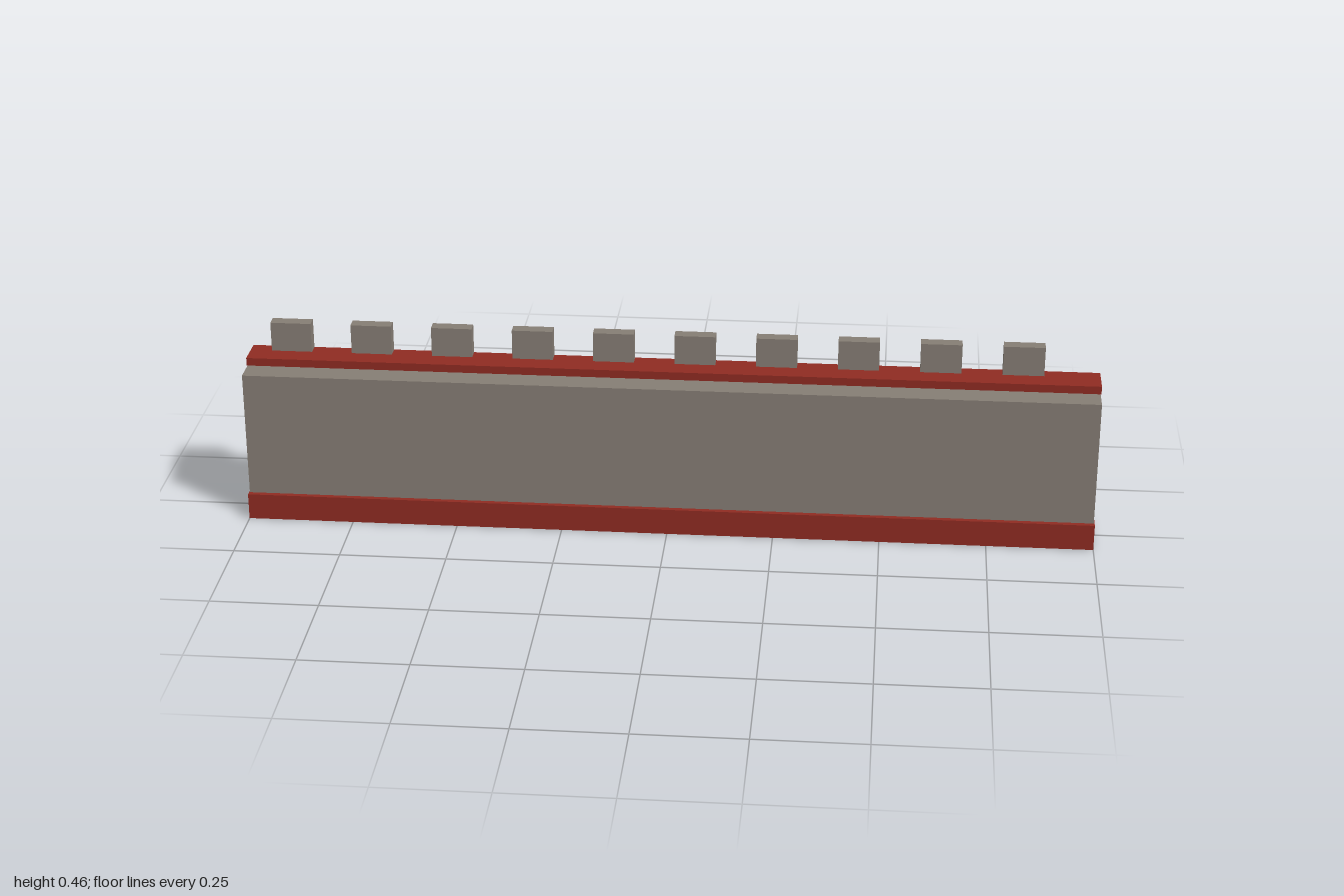
import * as THREE from 'three';

export function createModel() {
  const group = new THREE.Group();
  const stone = new THREE.MeshStandardMaterial({ color: 0x857d74 });
  stone.name = 'grey stone';
  const brick = new THREE.MeshStandardMaterial({ color: 0x8e2b22 });
  brick.name = 'red brick';

  // Box given by its lower and upper corners
  function block(name, material, [x0, y0, z0], [x1, y1, z1]) {
    const mesh = new THREE.Mesh(new THREE.BoxGeometry(x1 - x0, y1 - y0, z1 - z0), material);
    mesh.position.set((x0 + x1) / 2, (y0 + y1) / 2, (z0 + z1) / 2);
    mesh.name = name;
    group.add(mesh);
  }

  // Wall runs to the ground; the plinth is a hair above it so the undersides stay distinct
  block('wall', stone, [-0.998, 0, -0.067], [0.998, 0.367, 0.068]);
  block('plinth', brick, [-1, 0.001, -0.079], [1, 0.064, 0.08]);

  // Walkway coping along the back half of the wall top
  block('coping', brick, [-1, 0.367, -0.072], [1, 0.386, 0.008]);

  // Row of merlons on the back edge
  for (let i = 0; i < 10; i++) {
    const x = -0.949 + i * 0.1914;
    block(`merlon${i + 1}`, stone, [x, 0.386, -0.072], [x + 0.096, 0.457, -0.042]);
  }
  return group;
}
